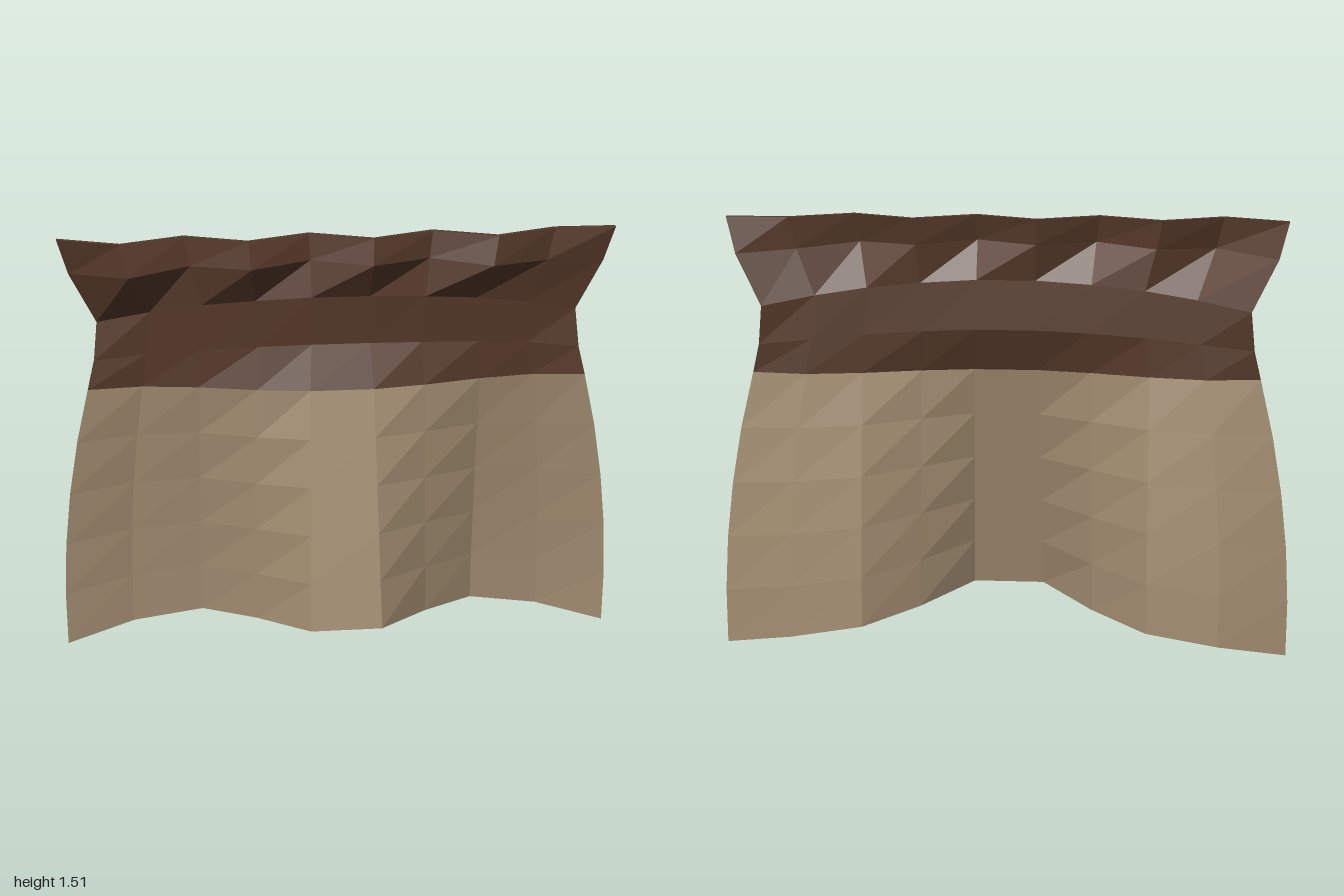
import * as THREE from 'three';

const THICK = 0.02;
const lerp = THREE.MathUtils.lerp;

// Mirror five columns (centre to edge) into a full row of ten points
function mirroredRow(xs, ys, zs) {
  const half = xs.map((x, k) => new THREE.Vector3(x, ys[k], zs[k]));
  const other = half.map((p) => new THREE.Vector3(-p.x, p.y, p.z)).reverse();
  return [...other, ...half];
}

// Evenly spread row whose depth zigzags between valley and peak
function pleatedRow(halfWidth, yCentre, drop, valley, peak, edge) {
  return Array.from({ length: 10 }, (_, i) => {
    const u = (i / 9) * 2 - 1;
    const z = i === 0 || i === 9 ? edge : i % 2 ? peak : valley;
    return new THREE.Vector3(u * halfWidth, yCentre - drop * u * u, z);
  });
}

// Thin faceted sheet through rows (bottom to top), with front, back and rim
function sheet(rows, material, name) {
  const pos = [];
  const back = (p) => new THREE.Vector3(p.x, p.y, p.z - THICK);
  const tri = (...pts) => pts.forEach((p) => pos.push(p.x, p.y, p.z));
  const quad = (a, b, c, d) => { tri(a, b, c); tri(a, c, d); };
  const n = rows[0].length, m = rows.length;
  for (let r = 0; r < m - 1; r++) {
    for (let i = 0; i < n - 1; i++) {
      const a = rows[r][i], b = rows[r][i + 1], c = rows[r + 1][i + 1], d = rows[r + 1][i];
      quad(a, b, c, d);
      quad(back(b), back(a), back(d), back(c));
    }
  }
  const rim = [
    ...rows[0],
    ...rows.slice(1, -1).map((row) => row[n - 1]),
    ...[...rows[m - 1]].reverse(),
    ...rows.slice(1, -1).map((row) => row[0]).reverse(),
  ];
  rim.forEach((p, k) => {
    const q = rim[(k + 1) % rim.length];
    quad(p, back(p), back(q), q);
  });
  const geometry = new THREE.BufferGeometry();
  geometry.setAttribute('position', new THREE.Float32BufferAttribute(pos, 3));
  geometry.computeVertexNormals();
  const mesh = new THREE.Mesh(geometry, material);
  mesh.name = name;
  return mesh;
}

export function createModel() {
  const group = new THREE.Group();
  group.name = 'drapedCloth';
  const tan = new THREE.MeshStandardMaterial({ color: 0xa18c70, flatShading: true });
  tan.name = 'tan cloth';
  const brown = new THREE.MeshStandardMaterial({ color: 0x553929, flatShading: true });
  brown.name = 'dark brown cloth';

  // Columns at the seam and at the hem, centre to edge
  const seam = { x: [0.11, 0.29, 0.49, 0.68, 0.865], z: [0.03, 0, -0.05, -0.078, -0.06] };
  const hem = {
    x: [0.125, 0.305, 0.495, 0.745, 0.985],
    y: [0.145, 0.115, 0.09, 0.05, 0],
    z: [0.185, -0.005, -0.155, -0.165, -0.1],
  };

  // Lower cloth: widens, folds forward in the middle and back at the sides
  const skirtRows = [1, 0.8, 0.6, 0.4, 0.2, 0].map((t) => {
    const flare = 2.2 * t - 1.2 * t * t;
    const sweep = 1 - (1 - t) ** 1.5;
    return mirroredRow(
      seam.x.map((x, k) => lerp(x, hem.x[k], k > 2 ? flare : t)),
      hem.y.map((y) => lerp(0.98, y, t)),
      seam.z.map((z, k) => lerp(z, hem.z[k], k > 1 ? sweep : t)),
    );
  });
  group.add(sheet(skirtRows, tan, 'lowerCloth'));

  // Upper band: narrows to a gather, then flares into a pleated ruffle
  const bandRows = [
    skirtRows[5],
    mirroredRow([0.1, 0.28, 0.48, 0.66, 0.84], [1.13, 1.125, 1.115, 1.1, 1.08],
      [-0.02, -0.03, -0.05, -0.07, -0.068]),
    mirroredRow([0.1, 0.29, 0.47, 0.645, 0.825], [1.3, 1.29, 1.275, 1.25, 1.215],
      [-0.008, -0.02, -0.04, -0.06, -0.08]),
    pleatedRow(0.91, 1.425, 0.035, -0.03, 0.072, -0.062),
    pleatedRow(0.942, 1.512, 0, -0.04, 0.052, -0.038),
  ];
  group.add(sheet(bandRows, brown, 'upperBand'));

  return group;
}
